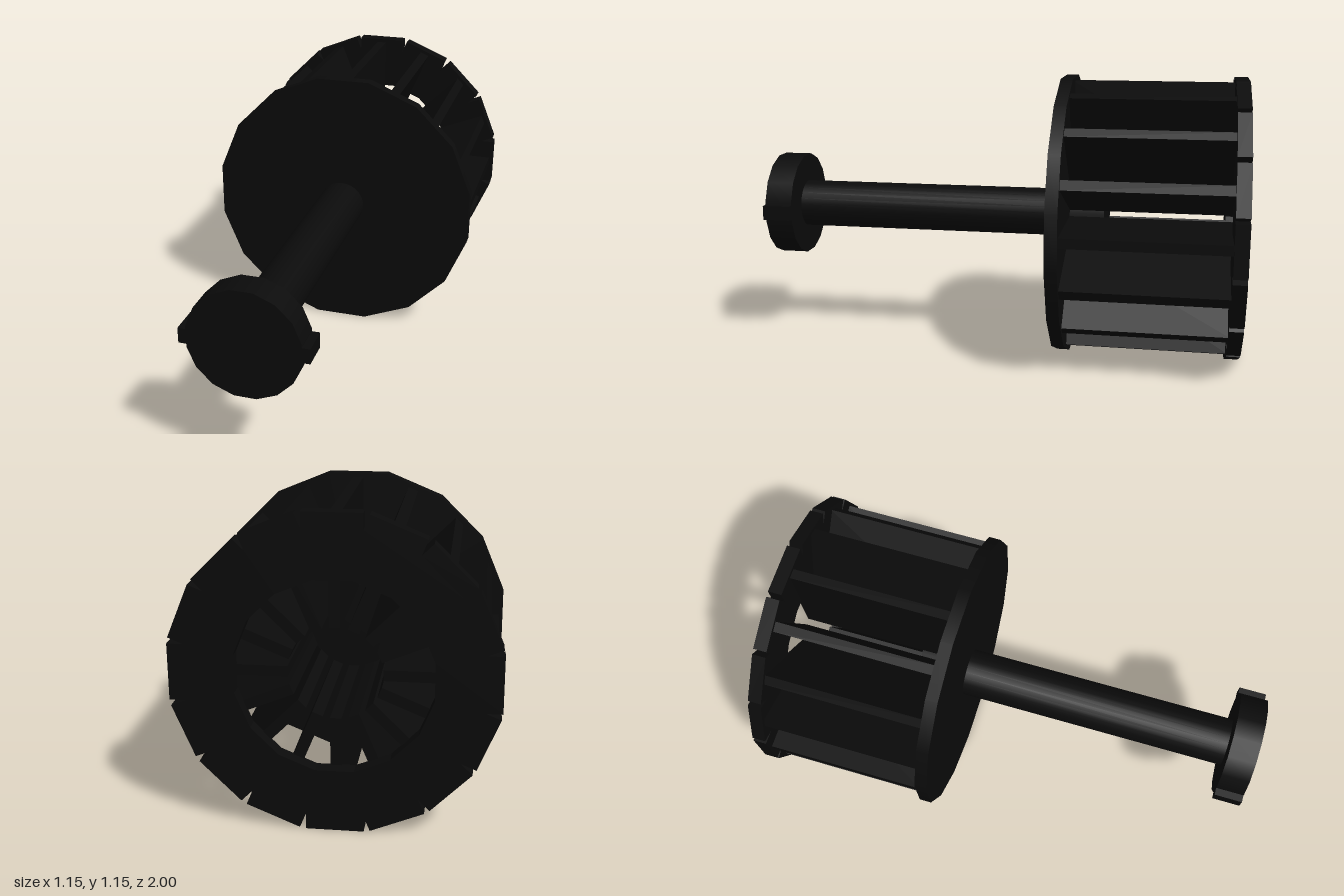
import * as THREE from 'three';

const N = 16;            // blades and rim facets
const STEP = (Math.PI * 2) / N;
const CY = 0.576;        // height of the axis

export function createModel() {
  const model = new THREE.Group();
  model.name = 'bladedRotor';
  const black = new THREE.MeshStandardMaterial({ color: 0x0b0b0b });
  black.name = 'black';
  const flatBlack = black;

  const add = (name, geometry, parent = model) => {
    const mesh = new THREE.Mesh(geometry, flatBlack);
    mesh.name = name;
    parent.add(mesh);
    return mesh;
  };

  // Cylinder lying along z between two depths, with a flat facet on top
  const rod = (name, radius, z0, z1, sides) => {
    const g = new THREE.CylinderGeometry(radius, radius, z1 - z0, sides);
    g.rotateY(Math.PI / sides);
    g.rotateX(Math.PI / 2);
    g.translate(0, CY, (z0 + z1) / 2);
    return add(name, g);
  };

  // Shaft, end flange and front plate
  rod('shaft', 0.1, -0.26, 0.89, 24);
  rod('endFlange', 0.219, 0.885, 1, 16);
  rod('frontPlate', 0.586, -0.3, -0.25, N);
  rod('innerHub', 0.17, -0.44, -0.29, N);

  // Small lugs on both sides of the flange
  for (const side of [1, -1]) {
    const lug = add(side > 0 ? 'leftLug' : 'rightLug', new THREE.BoxGeometry(0.06, 0.06, 0.115));
    lug.position.set(side * 0.215, CY, 0.9425);
  }

  // Radial blades
  const blades = new THREE.Group();
  blades.name = 'blades';
  blades.position.y = CY;
  model.add(blades);
  for (let i = 0; i < N; i++) {
    const g = new THREE.BoxGeometry(0.394, 0.04, 0.66);
    g.translate(0.363, 0, -0.6225);
    g.rotateZ(i * STEP);
    add('blade', g, blades);
  }

  // Rear ring of straight segments with narrow notches between them
  const outer = 0.575, inner = 0.345, half = 0.103;
  const notch = half / Math.sin(STEP / 2);
  const outline = [], hole = [];
  for (let i = 0; i < N; i++) {
    const a = i * STEP, b = a + STEP / 2;
    const dir = new THREE.Vector2(Math.cos(a), Math.sin(a));
    const tan = new THREE.Vector2(-dir.y, dir.x);
    for (const s of [-1, 1]) {
      outline.push(dir.clone().multiplyScalar(outer).addScaledVector(tan, s * half));
    }
    const corner = new THREE.Vector2(Math.cos(b), Math.sin(b));
    outline.push(corner.clone().multiplyScalar(notch));
    hole.push(corner.multiplyScalar(inner / Math.cos(STEP / 2)));
  }
  const ringShape = new THREE.Shape(outline);
  ringShape.holes.push(new THREE.Path(hole));
  const ring = add('rearRing', new THREE.ExtrudeGeometry(ringShape, { depth: 0.055, bevelEnabled: false }));
  ring.position.set(0, CY, -1);

  return model;
}
